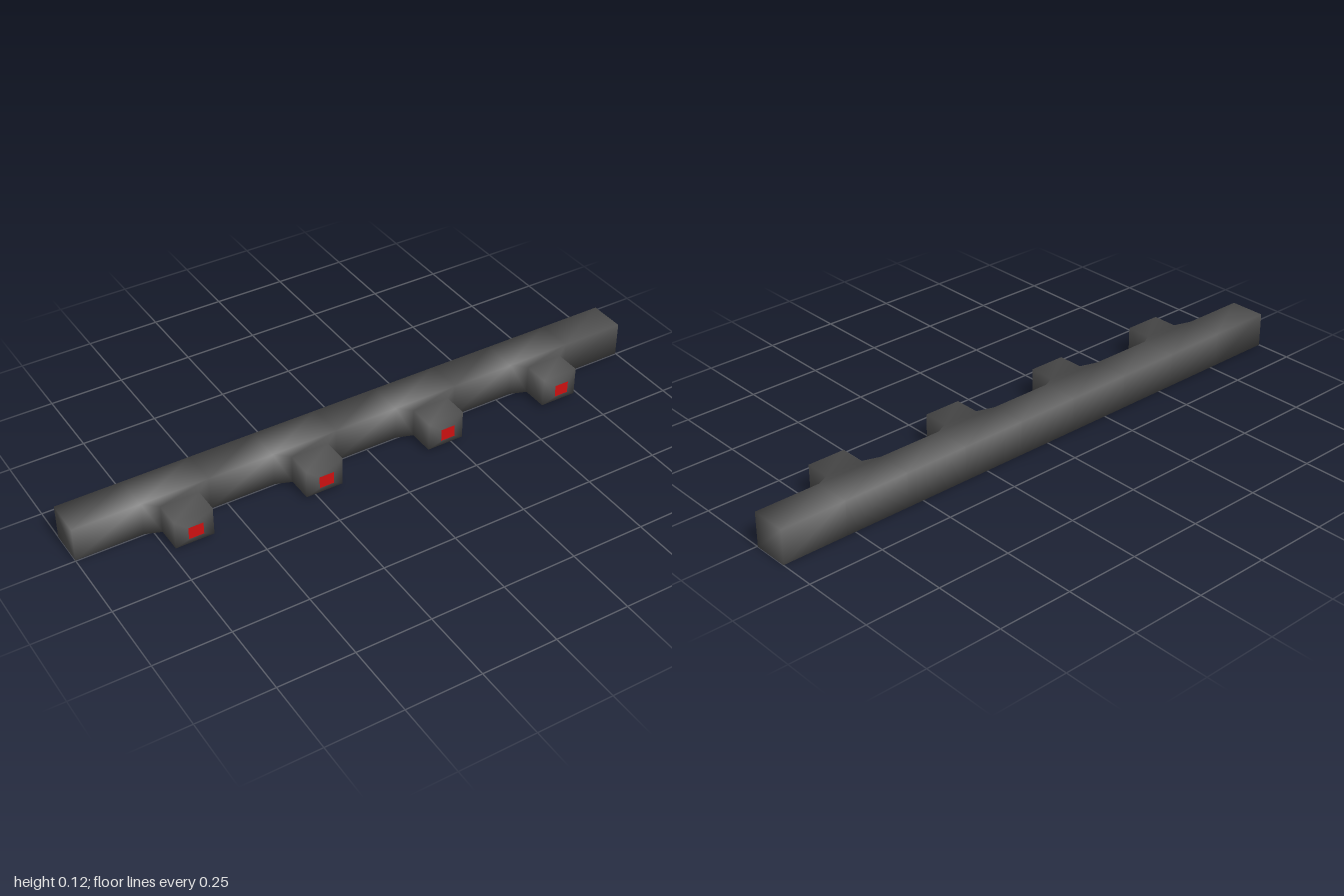
import * as THREE from 'three';

const HEIGHT = 0.117, BACK = -0.127, FRONT = -0.003, TIP = 0.128;
const CENTRES = [-0.667, -0.222, 0.222, 0.667];
const FLARE = 0.112; // half width of a stub where it leaves the beam
const MID = 0.059;   // height of the stub axis

// Stub sections after the flared base: half width, half height, z
const SECTIONS = [[0.064, 0.049, 0.028], [0.064, 0.049, 0.115], [0.025, 0.021, TIP]];

// Beam and stubs share their vertices so that shading flows over the edges
function createBody() {
  const points = [], index = [];
  const point = (x, y, z) => points.push(x, y, z) / 3 - 1;
  const quad = (a, b, c, d) => index.push(a, b, c, a, c, d);

  // Beam cross-sections: front bottom, front top, back top, back bottom
  const stations = [-1, ...CENTRES.flatMap((c) => [c - FLARE, c + FLARE]), 1];
  const rings = stations.map((x) => [
    point(x, 0, FRONT), point(x, HEIGHT, FRONT), point(x, HEIGHT, BACK), point(x, 0, BACK),
  ]);

  for (let i = 0; i < rings.length - 1; i++) {
    const p = rings[i], q = rings[i + 1];
    const isStub = i % 2 === 1;
    for (let k = isStub ? 1 : 0; k < 4; k++) {
      const n = (k + 1) % 4;
      quad(p[k], q[k], q[n], p[n]);
    }
    if (!isStub) continue;

    // Stub: flare, straight neck and tapered nose
    const c = CENTRES[(i - 1) / 2];
    let last = [p[0], q[0], q[1], p[1]];
    for (const [w, h, z] of SECTIONS) {
      const next = [[-1, -1], [1, -1], [1, 1], [-1, 1]].map(([sx, sy]) => point(c + sx * w, MID + sy * h, z));
      for (let k = 0; k < 4; k++) {
        const n = (k + 1) % 4;
        quad(last[k], last[n], next[n], next[k]);
      }
      last = next;
    }
  }

  // End caps
  const [a, b, c, d] = rings[0];
  quad(a, b, c, d);
  const [e, f, g, h] = rings[rings.length - 1];
  quad(e, h, g, f);

  const geometry = new THREE.BufferGeometry();
  geometry.setAttribute('position', new THREE.Float32BufferAttribute(points, 3));
  geometry.setIndex(index);
  geometry.computeVertexNormals();
  return geometry;
}

export function createModel() {
  const model = new THREE.Group();
  model.name = 'beamWithStubs';

  const body = new THREE.Mesh(createBody(), new THREE.MeshStandardMaterial({ color: 0x505050 }));
  body.name = 'beam';
  model.add(body);

  // Red end face on each stub
  const red = new THREE.MeshStandardMaterial({ color: 0xcc1010 });
  const [w, h] = SECTIONS[2];
  CENTRES.forEach((x, i) => {
    const tip = new THREE.Mesh(new THREE.PlaneGeometry(2 * w, 2 * h), red);
    tip.name = `stubTip${i + 1}`;
    tip.position.set(x, MID, TIP);
    model.add(tip);
  });
  return model;
}
